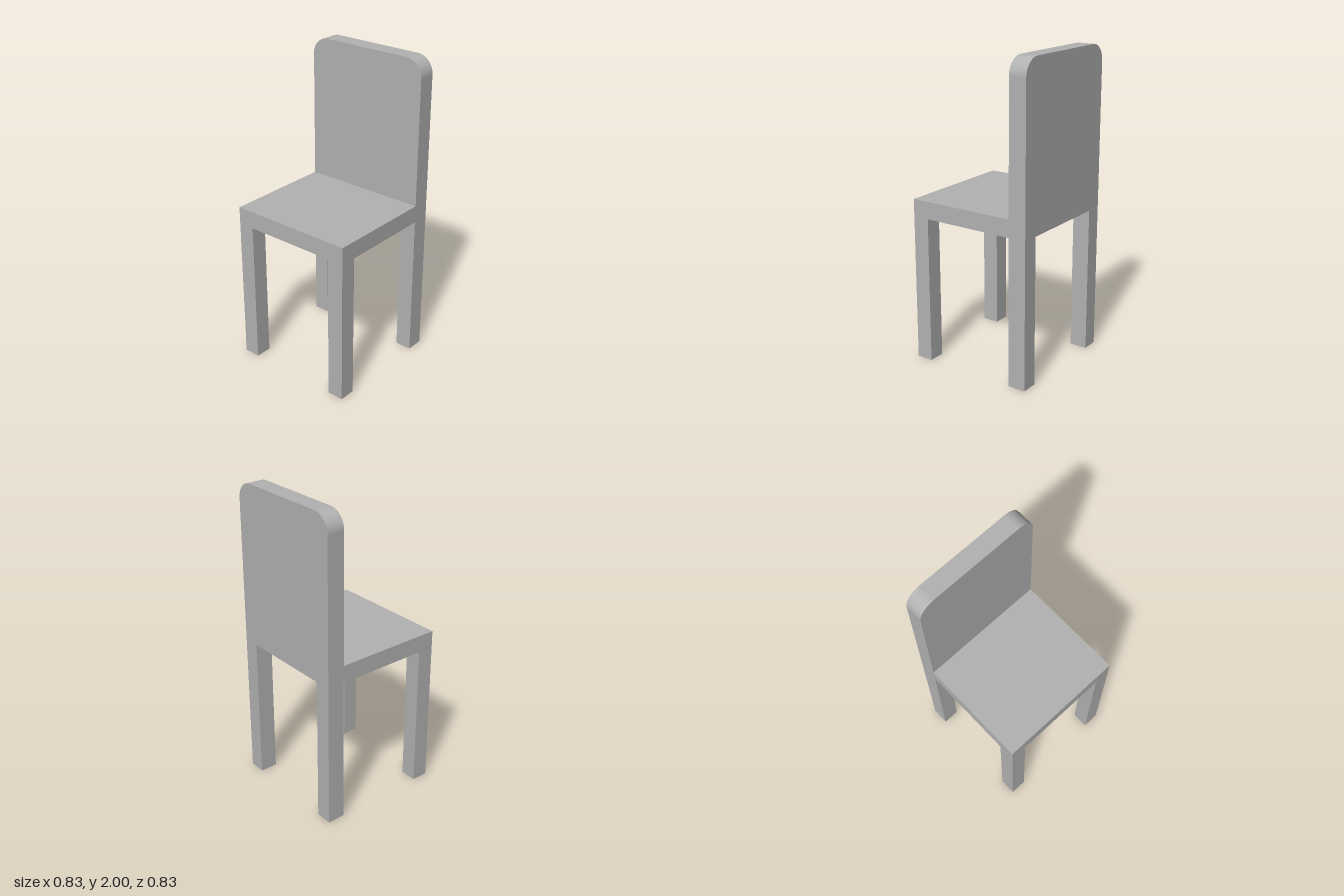
import * as THREE from 'three';

const HALF = 0.415;      // half width and half depth
const LEG = 0.108;       // leg thickness
const SEAT_BOTTOM = 0.953;
const SEAT_TOP = 1.065;
const BACK_FRONT = -0.3; // z of the backrest's front face

export function createModel() {
  const chair = new THREE.Group();
  chair.name = 'chair';
  const grey = new THREE.MeshStandardMaterial({ color: 0xb2b2b2 });
  grey.name = 'grey';

  const add = (name, geometry, x = 0, y = 0, z = 0) => {
    const mesh = new THREE.Mesh(geometry, grey);
    mesh.name = name;
    mesh.position.set(x, y, z);
    chair.add(mesh);
  };

  // Backrest and rear legs: one upright slab with rounded top corners
  const radius = 0.112, inner = HALF - LEG, top = 2;
  const outline = new THREE.Shape();
  outline.moveTo(-HALF, 0);
  outline.lineTo(-inner, 0);
  outline.lineTo(-inner, SEAT_BOTTOM);
  outline.lineTo(inner, SEAT_BOTTOM);
  outline.lineTo(inner, 0);
  outline.lineTo(HALF, 0);
  outline.lineTo(HALF, top - radius);
  outline.absarc(HALF - radius, top - radius, radius, 0, Math.PI / 2);
  outline.lineTo(radius - HALF, top);
  outline.absarc(radius - HALF, top - radius, radius, Math.PI / 2, Math.PI);
  outline.closePath();
  add('backrestAndRearLegs', new THREE.ExtrudeGeometry(outline, {
    depth: BACK_FRONT + HALF, bevelEnabled: false, curveSegments: 12,
  }), 0, 0, -HALF);

  // Seat, running from the backrest to the front edge
  const depth = HALF - BACK_FRONT;
  add('seat', new THREE.BoxGeometry(HALF * 2, SEAT_TOP - SEAT_BOTTOM, depth),
    0, (SEAT_TOP + SEAT_BOTTOM) / 2, BACK_FRONT + depth / 2);

  // Front legs, flush with the seat's corners
  for (const [name, side] of [['frontLegLeft', 1], ['frontLegRight', -1]]) {
    add(name, new THREE.BoxGeometry(LEG, SEAT_BOTTOM, LEG),
      side * (HALF - LEG / 2), SEAT_BOTTOM / 2, HALF - LEG / 2);
  }
  return chair;
}
